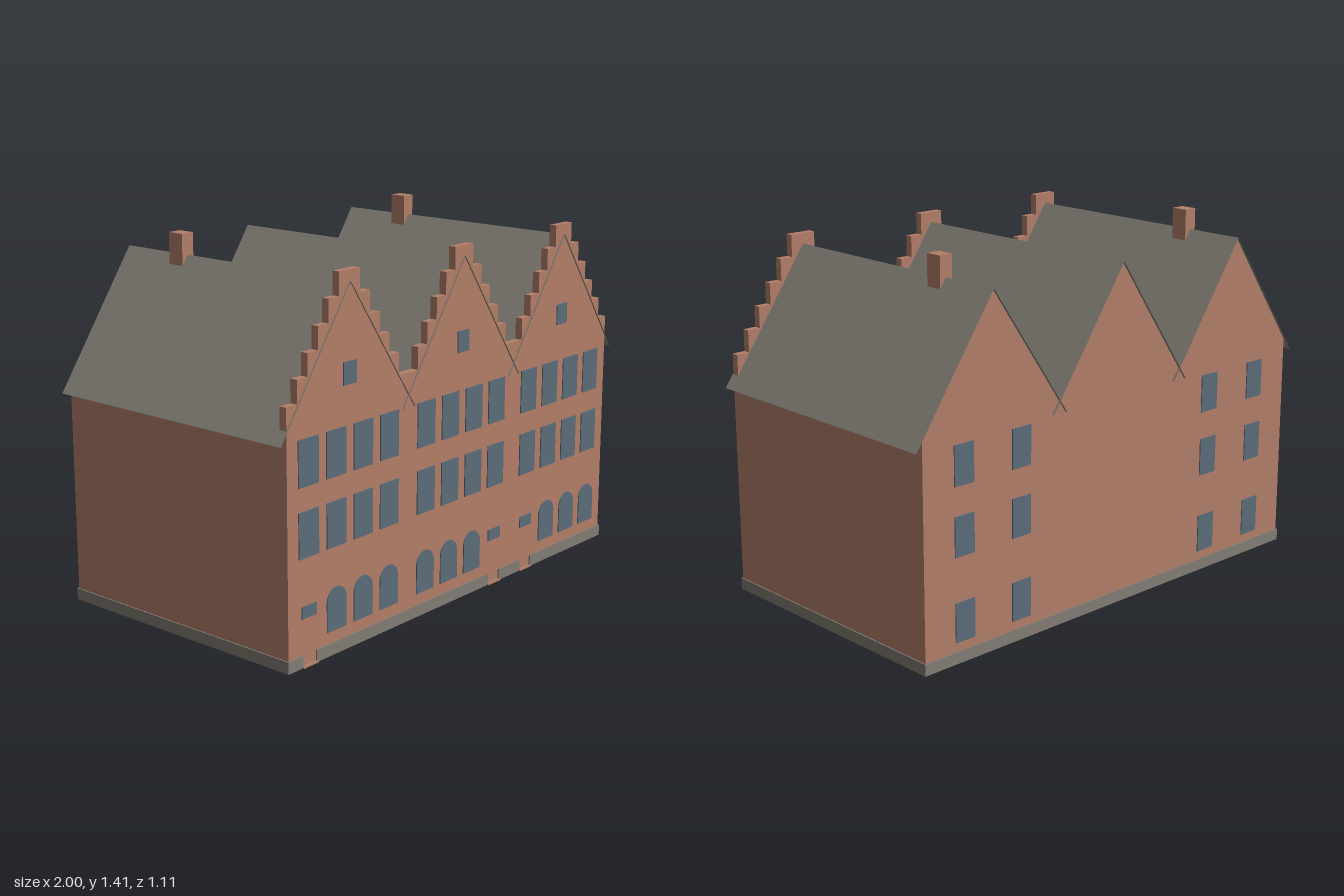
import * as THREE from 'three';

const mat = (name, color, side = THREE.FrontSide) => {
  const m = new THREE.MeshStandardMaterial({ color, side });
  m.name = name;
  return m;
};

export function createModel() {
  const brick = mat('brick', 0xb27e68);
  const wallBrick = brick.clone();
  wallBrick.side = THREE.DoubleSide;
  const slate = mat('roof slate', 0x88847b, THREE.DoubleSide);
  const stone = mat('plinth stone', 0x827d74);
  const glass = mat('window glass', 0x5b6c79);

  const model = new THREE.Group();
  model.name = 'gabledHouse';
  const groups = {};
  const add = (group, name, geo, material, x = 0, y = 0, z = 0) => {
    if (!groups[group]) {
      groups[group] = new THREE.Group();
      groups[group].name = group;
      model.add(groups[group]);
    }
    const m = new THREE.Mesh(geo, material);
    m.name = name;
    m.position.set(x, y, z);
    groups[group].add(m);
    return m;
  };
  // box given by its limits
  const box = (group, name, material, x0, x1, y0, y1, z0, z1) =>
    add(group, name, new THREE.BoxGeometry(x1 - x0, y1 - y0, z1 - z0), material,
      (x0 + x1) / 2, (y0 + y1) / 2, (z0 + z1) / 2);

  const HALF = 0.322, W = HALF * 3, D = 0.545;
  const RIDGE = 1.33, SLOPE = 0.51 / 0.356;
  const roofY = dx => RIDGE - SLOPE * dx;
  const bays = [-2 * HALF, 0, 2 * HALF];

  // front and back walls with three gables
  const outline = new THREE.Shape();
  outline.moveTo(-W, 0);
  outline.lineTo(W, 0);
  outline.lineTo(W, roofY(HALF));
  [...bays].reverse().forEach(c => {
    outline.lineTo(c, RIDGE);
    outline.lineTo(c - HALF, roofY(HALF));
  });
  const gableWall = new THREE.ShapeGeometry(outline);
  add('walls', 'frontWall', gableWall, wallBrick, 0, 0, D);
  add('walls', 'backWall', gableWall, wallBrick, 0, 0, -D).rotation.y = Math.PI;

  // plain side walls
  for (const s of [-1, 1]) {
    add('walls', 'sideWall', new THREE.PlaneGeometry(2 * D, roofY(HALF)), wallBrick,
      s * W, roofY(HALF) / 2, 0).rotation.y = s * Math.PI / 2;
  }

  // thin pitched roofs, crossing slightly at the valleys
  const EAVE = 0.356;
  const pitch = new THREE.PlaneGeometry(Math.hypot(EAVE, EAVE * SLOPE), 1.106);
  pitch.rotateX(-Math.PI / 2);
  for (const c of bays) for (const s of [-1, 1]) {
    add('roofs', 'roofSlope', pitch, slate, c + s * EAVE / 2, RIDGE - EAVE * SLOPE / 2, -0.002)
      .rotation.z = -s * Math.atan(SLOPE);
  }

  // stepped gable parapets
  const STEP = HALF / 6;
  const tops = [1.37, 1.285, 1.2, 1.117, 1.035, 0.95];
  for (const c of bays) {
    box('steppedGables', 'topStep', brick, c - STEP, c + STEP, roofY(STEP), tops[0], 0.515, D);
    for (let i = 1; i < 6; i++) for (const s of [-1, 1]) {
      const x = c + s * STEP * (i + 0.5);
      box('steppedGables', 'gableStep', brick, x - STEP / 2, x + STEP / 2,
        roofY(STEP * (i + 1)), tops[i], 0.515, D);
    }
  }

  // chimneys on the outer ridges
  for (const s of [-1, 1]) {
    box('chimneys', 'chimney', brick, s * 0.643 - 0.028, s * 0.643 + 0.028, 1.287, 1.41, -0.308, -0.24);
  }

  // window panes set through the walls
  const T = 0.004;
  const pane = (name, x, y0, y1, w, z) =>
    box('windows', name, glass, x - w / 2, x + w / 2, y0, y1, z - T, z + T);

  const arch = new THREE.Shape();
  arch.moveTo(-0.051, 0);
  arch.lineTo(0.051, 0);
  arch.lineTo(0.051, 0.11);
  arch.absarc(0, 0.11, 0.051, 0, Math.PI, false);
  const archGeo = new THREE.ExtrudeGeometry(arch, { depth: 2 * T, bevelEnabled: false, curveSegments: 10 });

  const doorSlots = [0, 3, 0];
  const doors = [];
  bays.forEach((c, b) => {
    pane('gableWindow', c, 0.97, 1.052, 0.068, D);
    for (let i = 0; i < 4; i++) {
      const x = c + (i - 1.5) * 0.144;
      pane('upperWindow', x, 0.655, 0.825, 0.102, D);
      pane('middleWindow', x, 0.4, 0.568, 0.102, D);
      if (i === doorSlots[b]) {
        doors.push(x);
        box('windows', 'smallWindow', glass, x - 0.038, x + 0.038, 0.18, 0.225, D, D + T);
      } else {
        add('windows', 'archedWindow', archGeo, glass, x, 0.09, D - T);
      }
    }
  });

  // back windows, two columns on either side
  for (const x of [-0.78, -0.507, 0.507, 0.78])
    for (const y of [0.155, 0.475, 0.735]) pane('backWindow', x, y - 0.075, y + 0.075, 0.09, -D);

  // stone plinth, interrupted at the entrances, with low doorsteps
  const P = 0.005, PH = 0.045;
  let start = -W - P;
  for (const x of doors) {
    box('plinth', 'frontPlinth', stone, start, x - 0.035, 0, PH, D, D + P);
    box('doorsteps', 'doorstep', brick, x - 0.04, x + 0.04, 0, 0.006, D, 0.556);
    start = x + 0.035;
  }
  box('plinth', 'frontPlinth', stone, start, W + P, 0, PH, D, D + P);
  box('plinth', 'backPlinth', stone, -W - P, W + P, 0, PH, -D - P, -D);
  box('plinth', 'leftPlinth', stone, W, W + P, 0, PH, -D, D);
  box('plinth', 'rightPlinth', stone, -W - P, -W, 0, PH, -D, D);

  return model;
}
